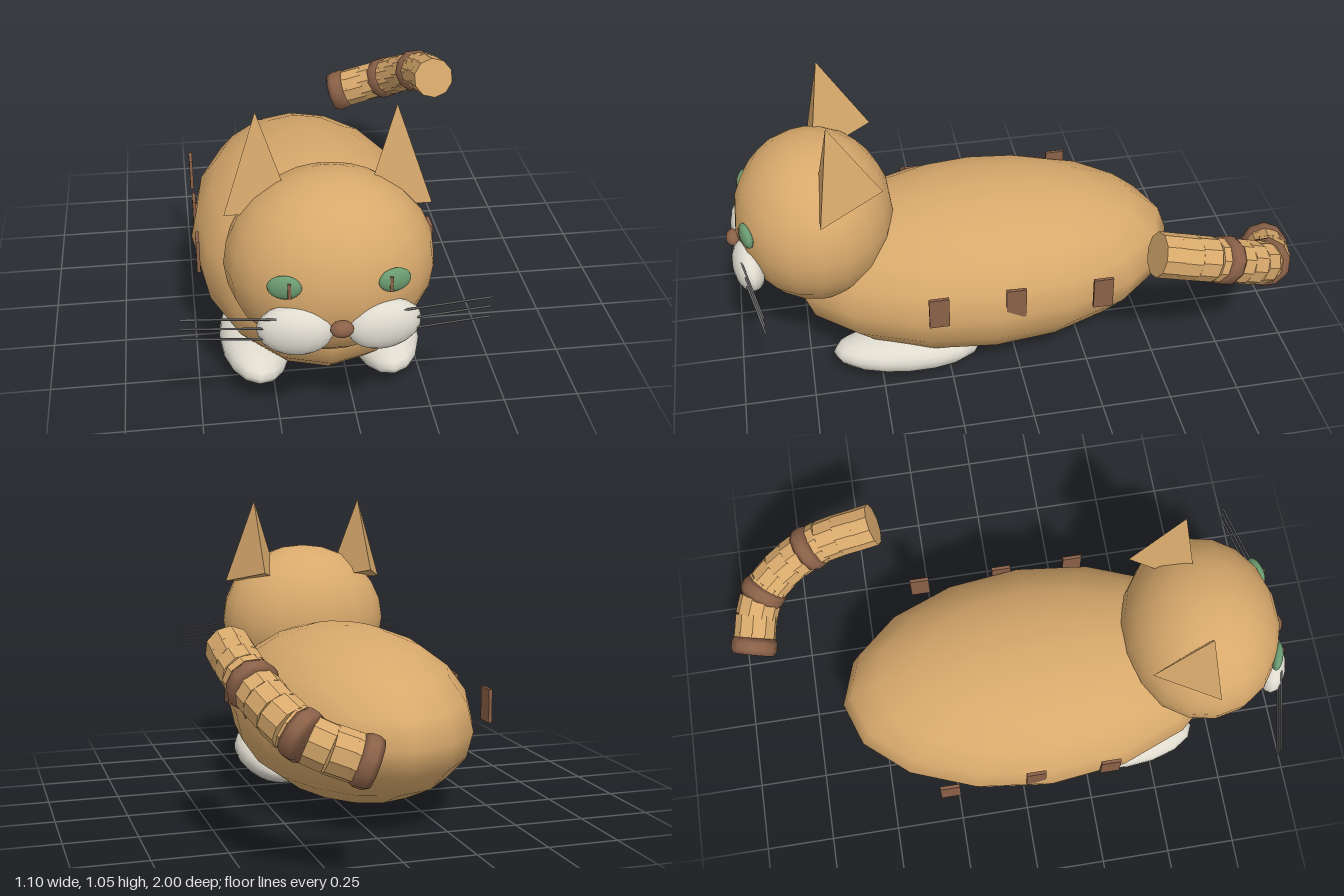
import * as THREE from 'three';
import { ConvexGeometry } from 'three/addons/geometries/ConvexGeometry.js';

const mat = (name, color, flat = false) => {
  const m = new THREE.MeshStandardMaterial({ color, flatShading: flat });
  m.name = name;
  return m;
};

export function createModel() {
  const cat = new THREE.Group();
  cat.name = 'cat';
  const tan = mat('tan fur', 0xd8a96c);
  const brown = mat('brown stripe', 0x8b6148);
  const cream = mat('cream fur', 0xdfdbcf);
  const green = mat('green eye', 0x6b9b70);
  const grey = mat('grey whisker', 0x6a6a6a);
  const UP = new THREE.Vector3(0, 1, 0);
  const V = (x, y, z) => new THREE.Vector3(x, y, z);

  // The cat sits slightly right of centre; the tail swings out to its left
  const trunk = new THREE.Group();
  trunk.name = 'bodyAndHead';
  trunk.position.x = -0.08;
  cat.add(trunk);

  const add = (parent, name, geometry, material, pos = [0, 0, 0], rot = [0, 0, 0]) => {
    const mesh = new THREE.Mesh(geometry, material);
    mesh.name = name;
    mesh.position.set(...pos);
    mesh.rotation.set(...rot);
    parent.add(mesh);
    return mesh;
  };
  const ball = (name, material, pos, radii, rot, w = 16, h = 12) =>
    add(trunk, name, new THREE.SphereGeometry(1, w, h), material, pos, rot).scale.set(...radii);

  // Cylinder-like part laid between two points
  const between = (parent, name, geometry, material, a, b) => {
    const mesh = add(parent, name, geometry, material);
    mesh.position.copy(a).add(b).multiplyScalar(0.5);
    mesh.quaternion.setFromUnitVectors(UP, b.clone().sub(a).normalize());
    return mesh;
  };

  ball('body', tan, [0, 0.318, 0.09], [0.416, 0.308, 0.715], [0, 0, 0], 16, 10);
  ball('head', tan, [0, 0.575, 0.683], [0.33, 0.295, 0.28], [0, 0, 0], 18, 12);
  ball('nose', brown, [0, 0.503, 0.975], [0.036, 0.027, 0.025]);

  for (const s of [-1, 1]) {
    const side = s > 0 ? 'left' : 'right';

    // Three-sided pointed ears
    add(trunk, side + 'Ear', new ConvexGeometry([
      V(s * 0.215, 1.055, 0.62), V(s * 0.215 - 0.107, 0.735, 0.67),
      V(s * 0.215 + 0.107, 0.735, 0.67), V(s * 0.215, 0.785, 0.45),
    ]), tan);

    // Face
    ball(side + 'Eye', green, [s * 0.164, 0.627, 0.92], [0.053, 0.039, 0.02], [0, s * 0.28, s * -0.08]);
    add(trunk, side + 'Pupil', new THREE.BoxGeometry(0.01, 0.05, 0.009), brown, [s * 0.151, 0.626, 0.94]);
    ball(side + 'Muzzle', cream, [s * 0.135, 0.478, 0.927], [0.116, 0.082, 0.055], [0, s * 0.15, s * 0.04]);

    // Whiskers
    for (const y of [0.535, 0.502, 0.465]) {
      const a = V(s * 0.19, y, 0.947), b = V(s * 0.472, y - 0.02, 0.885);
      between(trunk, side + 'Whisker', new THREE.CylinderGeometry(0.0035, 0.0035, a.distanceTo(b), 6), grey, a, b);
    }

    // Front paws
    ball(side + 'Paw', cream, [s * 0.222, 0.082, 0.4], [0.122, 0.077, 0.27], [-0.07, 0, s * 0.14]);

    // Flank stripes
    for (const z of [0.3, 0.03, -0.28])
      add(trunk, side + 'FlankStripe', new THREE.BoxGeometry(0.012, 0.12, 0.07), brown, [s * 0.4, 0.38, z]);
  }

  // Tail: short faceted drums along a curve, with bulging stripes
  const tail = new THREE.Group();
  tail.name = 'tail';
  cat.add(tail);
  const path = new THREE.CatmullRomCurve3([
    V(0.473, 0.65, -0.415), V(0.455, 0.577, -0.65), V(0.35, 0.455, -0.86), V(0.16, 0.375, -0.925),
  ]);
  const count = 11, length = path.getLength();
  for (let i = 0; i < count; i++) {
    const drum = new THREE.CylinderGeometry(0.077, 0.077, length / count + 0.004, 10).toNonIndexed();
    drum.computeVertexNormals();
    between(tail, 'tailDrum', drum, tan, path.getPointAt(i / count), path.getPointAt((i + 1) / count));
  }
  const profile = [[0, -0.032], [0.076, -0.032], [0.085, -0.014], [0.085, 0.014], [0.076, 0.032], [0, 0.032]]
    .map(([r, y]) => new THREE.Vector2(r, y));
  for (const t of [0.35, 0.69, 0.97]) {
    const p = path.getPointAt(t), d = path.getTangentAt(t).multiplyScalar(0.03);
    between(tail, 'tailStripe', new THREE.LatheGeometry(profile, 10), brown, p.clone().sub(d), p.clone().add(d));
  }
  return cat;
}
